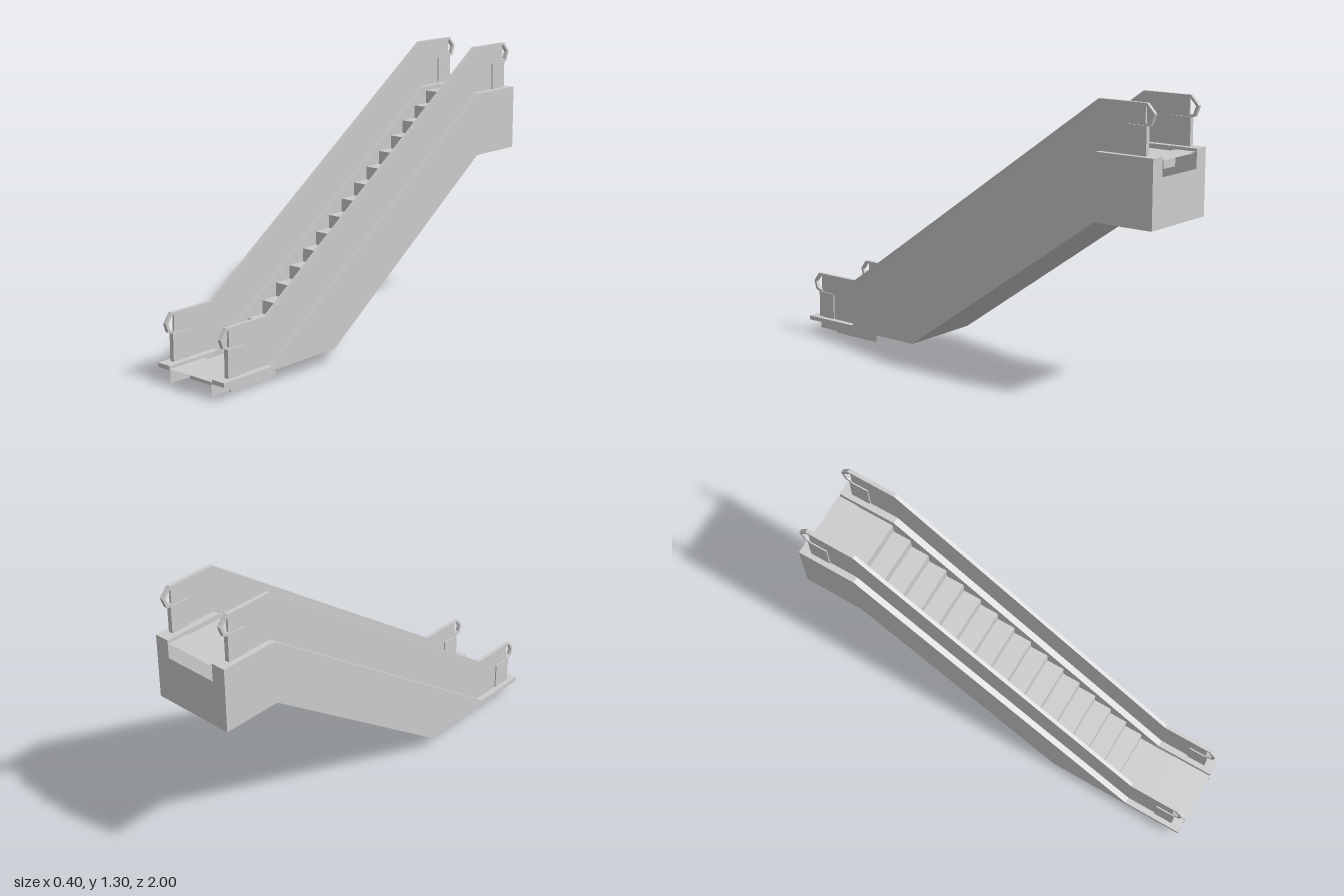
import * as THREE from 'three';

export function createModel() {
  const root = new THREE.Group();
  root.name = 'escalator';
  const grey = new THREE.MeshStandardMaterial({ color: 0xcccccc, side: THREE.DoubleSide });
  grey.name = 'light grey metal';

  const add = (geometry, name, parent = root) => {
    const mesh = new THREE.Mesh(geometry, grey);
    mesh.name = name;
    parent.add(mesh);
    return mesh;
  };
  const shapeOf = (pts) => new THREE.Shape(pts.map(([a, b]) => new THREE.Vector2(a, b)));

  // Flat sheet standing in the z-y plane at a given x
  const sideSheet = (pts, x) =>
    new THREE.ShapeGeometry(shapeOf(pts)).rotateY(-Math.PI / 2).translate(x, 0, 0);

  // Plate with thickness, drawn in z-y and centred on x
  const sidePlate = (pts, x, thickness) =>
    new THREE.ExtrudeGeometry(shapeOf(pts), { depth: thickness, bevelEnabled: false })
      .rotateY(-Math.PI / 2).translate(x + thickness / 2, 0, 0);

  // Folded sheet following a z-y path between two x positions
  const foldedSheet = (path, x0, x1) => {
    const v = [];
    for (let i = 0; i + 1 < path.length; i++) {
      const [z0, y0] = path[i], [z1, y1] = path[i + 1];
      v.push(x0, y0, z0, x1, y0, z0, x1, y1, z1, x0, y0, z0, x1, y1, z1, x0, y1, z1);
    }
    const g = new THREE.BufferGeometry();
    g.setAttribute('position', new THREE.Float32BufferAttribute(v, 3));
    g.computeVertexNormals();
    return g;
  };

  // Hollow truss: side sheets, sloped floor and notched back; open under the lower end
  const topLine = [[1, 0.065], [1, 0.085], [0.715, 0.085], [-0.715, 1.085], [-1, 1.085]];
  const floorLine = [[-1, 0.785], [-0.71, 0.785], [0.32, 0.065]];
  const profile = [...topLine, ...floorLine];
  const truss = new THREE.Group();
  truss.name = 'truss';
  root.add(truss);
  for (const s of [1, -1]) {
    add(sideSheet(profile, s * 0.2), 'outerWall', truss);
    add(sideSheet(profile, s * 0.13), 'innerSkirt', truss);
    add(foldedSheet(topLine, s > 0 ? 0.13 : -0.2, s > 0 ? 0.2 : -0.13), 'deckStrip', truss);
  }
  add(foldedSheet(floorLine, -0.2, 0.2), 'trussFloor', truss);
  add(new THREE.ShapeGeometry(shapeOf([
    [-0.2, 0.785], [0.2, 0.785], [0.2, 1.085], [0.13, 1.085],
    [0.13, 1.0], [-0.13, 1.0], [-0.13, 1.085], [-0.2, 1.085],
  ])).translate(0, 0, -1), 'backWall', truss);

  // Steps: folded tread and riser with side cheeks
  const W = 0.125, DROP = 0.065, RISE = 0.0625, RUN = 0.0893;
  const steps = new THREE.Group();
  steps.name = 'steps';
  root.add(steps);
  const addStep = (front, back, y, riser, name) => {
    const path = [[front, y], [back, y]];
    if (riser) path.unshift([front, y - DROP]);
    add(foldedSheet(path, -W, W), name, steps);
    const cheek = [[front, y - DROP], [back, y - DROP], [back, y], [front, y]];
    for (const s of [1, -1]) add(sideSheet(cheek, s * W), name + 'Cheek', steps);
  };
  const firstRiser = 0.62;
  for (let i = -3; i <= 17; i++) {
    const front = firstRiser - i * RUN;
    const level = Math.min(Math.max(i + 1, 0), 16);
    addStep(front, front - RUN, 0.065 + level * RISE, true, 'step');
  }
  addStep(1, 0.8, 0.073, false, 'lowerLandingPlate');
  addStep(-0.9, -1, 1.073, false, 'upperLandingPlate');

  // Balustrades: thin panel, end pedestals and a handrail with returned ends
  const panel = [
    [0.94, 0.085], [0.94, 0.297], [0.712, 0.297], [-0.712, 1.297],
    [-0.94, 1.297], [-0.94, 1.085], [-0.715, 1.085], [0.715, 0.085],
  ];
  const railPath = [
    [0.94, 0.213], [0.972, 0.225], [0.983, 0.26], [0.955, 0.298], [0.712, 0.298],
    [-0.712, 1.298], [-0.945, 1.298], [-0.98, 1.26], [-0.964, 1.218], [-0.94, 1.213],
  ];
  for (const s of [1, -1]) {
    const side = new THREE.Group();
    side.name = s > 0 ? 'leftBalustrade' : 'rightBalustrade';
    root.add(side);
    const x = s * 0.166;
    add(sidePlate(panel, x, 0.01), 'panel', side);
    for (const [z, y] of [[0.905, 0.149], [-0.902, 1.149]])
      add(new THREE.BoxGeometry(0.022, 0.126, 0.095).translate(x, y, z), 'pedestal', side);
    for (let i = 0; i + 1 < railPath.length; i++) {
      const [z0, y0] = railPath[i], [z1, y1] = railPath[i + 1];
      const dz = z1 - z0, dy = y1 - y0;
      const beam = add(
        new THREE.BoxGeometry(0.018, 0.012, Math.hypot(dz, dy) + 0.004), 'handrail', side);
      beam.position.set(x, (y0 + y1) / 2, (z0 + z1) / 2);
      beam.rotation.x = -Math.atan2(dy, dz);
    }
  }
  return root;
}
